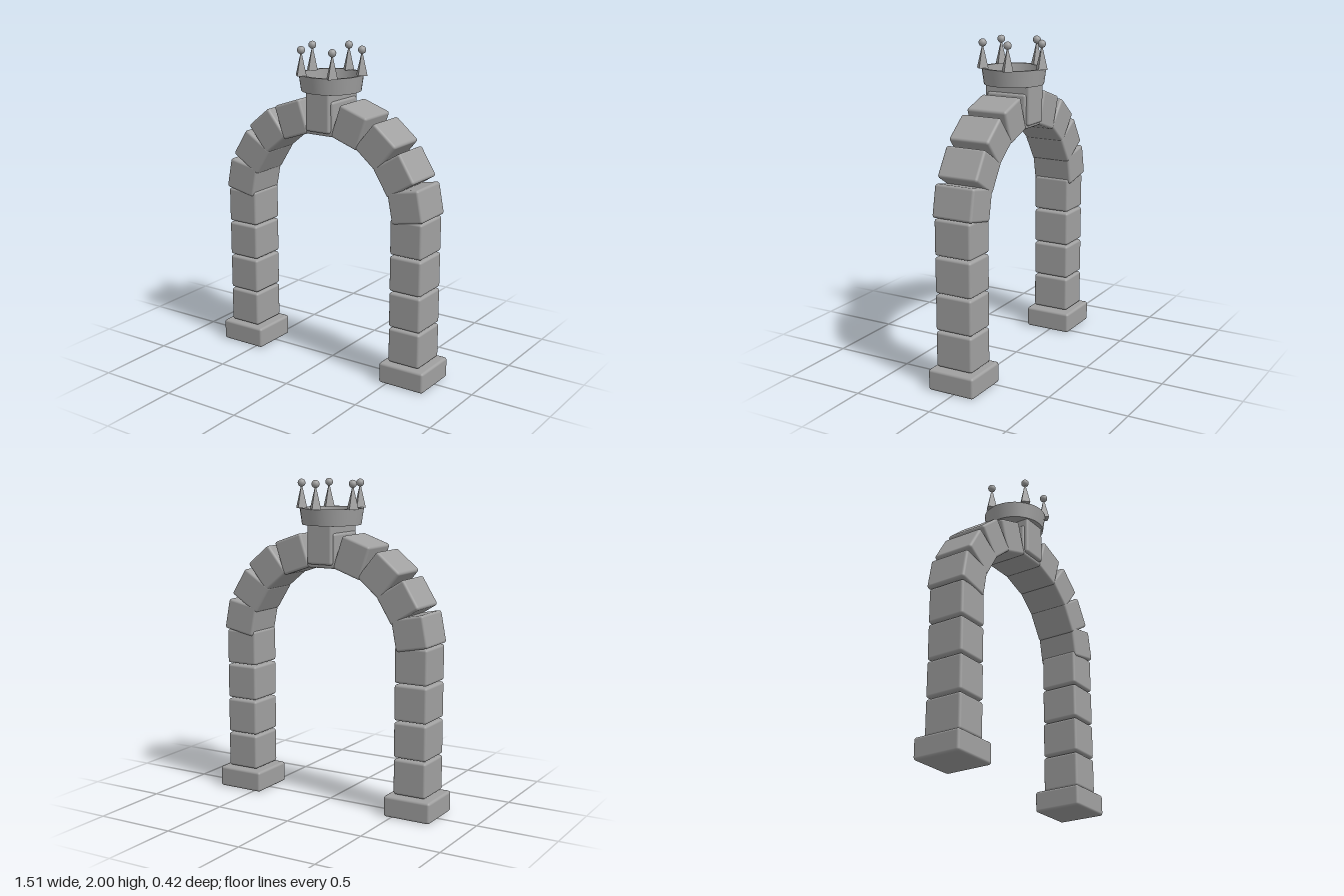
import * as THREE from 'three';
import { RoundedBoxGeometry } from 'three/addons/geometries/RoundedBoxGeometry.js';

const Z = 0.015; // depth centre shared by every part

export function createModel() {
  const group = new THREE.Group();
  const stone = new THREE.MeshStandardMaterial({ color: 0xa0a0a0 });
  stone.name = 'stone';

  function add(parent, name, geometry, x, y, z) {
    const mesh = new THREE.Mesh(geometry, stone);
    mesh.name = name;
    mesh.position.set(x, y, z);
    parent.add(mesh);
    return mesh;
  }
  const block = (w, h, d) => new RoundedBoxGeometry(w, h, d, 2, 0.016);

  // Two pillars and the leaning arch stones above them
  const archStones = [ // x, y, tilt in degrees
    [0.597, 1.124, 79],
    [0.517, 1.3, 58],
    [0.39, 1.45, 39.5],
    [0.207, 1.545, 19],
  ];
  for (const side of [-1, 1]) {
    const half = new THREE.Group();
    half.name = side > 0 ? 'leftHalf' : 'rightHalf';
    add(half, 'base', block(0.306, 0.13, 0.306), side * 0.603, 0.065, Z);
    for (let i = 0; i < 4; i++) {
      add(half, 'pillarStone', block(0.214, 0.219, 0.242), side * 0.603, 0.247 + i * 0.2275, Z + 0.003);
    }
    for (const [x, y, tilt] of archStones) {
      const m = add(half, 'archStone', block(0.196, 0.212, 0.264), side * x, y, Z);
      m.rotation.z = -side * THREE.MathUtils.degToRad(tilt);
    }
    group.add(half);
  }

  // Crown stone of the arch with the deeper keystone through it
  add(group, 'archTopStone', block(0.2, 0.212, 0.264), 0, 1.578, Z);
  add(group, 'keystone', block(0.172, 0.245, 0.306), 0, 1.616, Z);

  // Crown: flared hollow band with a floor
  const crown = new THREE.Group();
  crown.name = 'crown';
  crown.position.z = Z;
  group.add(crown);
  // Each wall is its own lathe so the rims stay sharp
  const walls = [
    [[0, 1.728], [0.181, 1.728]],
    [[0.181, 1.728], [0.195, 1.828]],
    [[0.195, 1.828], [0.178, 1.828]],
    [[0.178, 1.828], [0.168, 1.734]],
    [[0.168, 1.734], [0, 1.734]],
  ];
  for (const wall of walls) {
    const points = wall.map(([r, y]) => new THREE.Vector2(r, y));
    add(crown, 'crownBand', new THREE.LatheGeometry(points, 32), 0, 0, 0);
  }

  // Five four-sided spikes tipped with balls
  const spike = new THREE.ConeGeometry(0.04, 0.15, 4).toNonIndexed();
  spike.computeVertexNormals();
  const ball = new THREE.SphereGeometry(0.024, 16, 12);
  for (let i = 0; i < 5; i++) {
    const a = (i * Math.PI * 2) / 5;
    const x = 0.188 * Math.sin(a);
    const z = -0.188 * Math.cos(a);
    add(crown, 'crownSpike', spike, x, 1.9, z);
    add(crown, 'crownBall', ball, x, 1.976, z);
  }
  return group;
}
